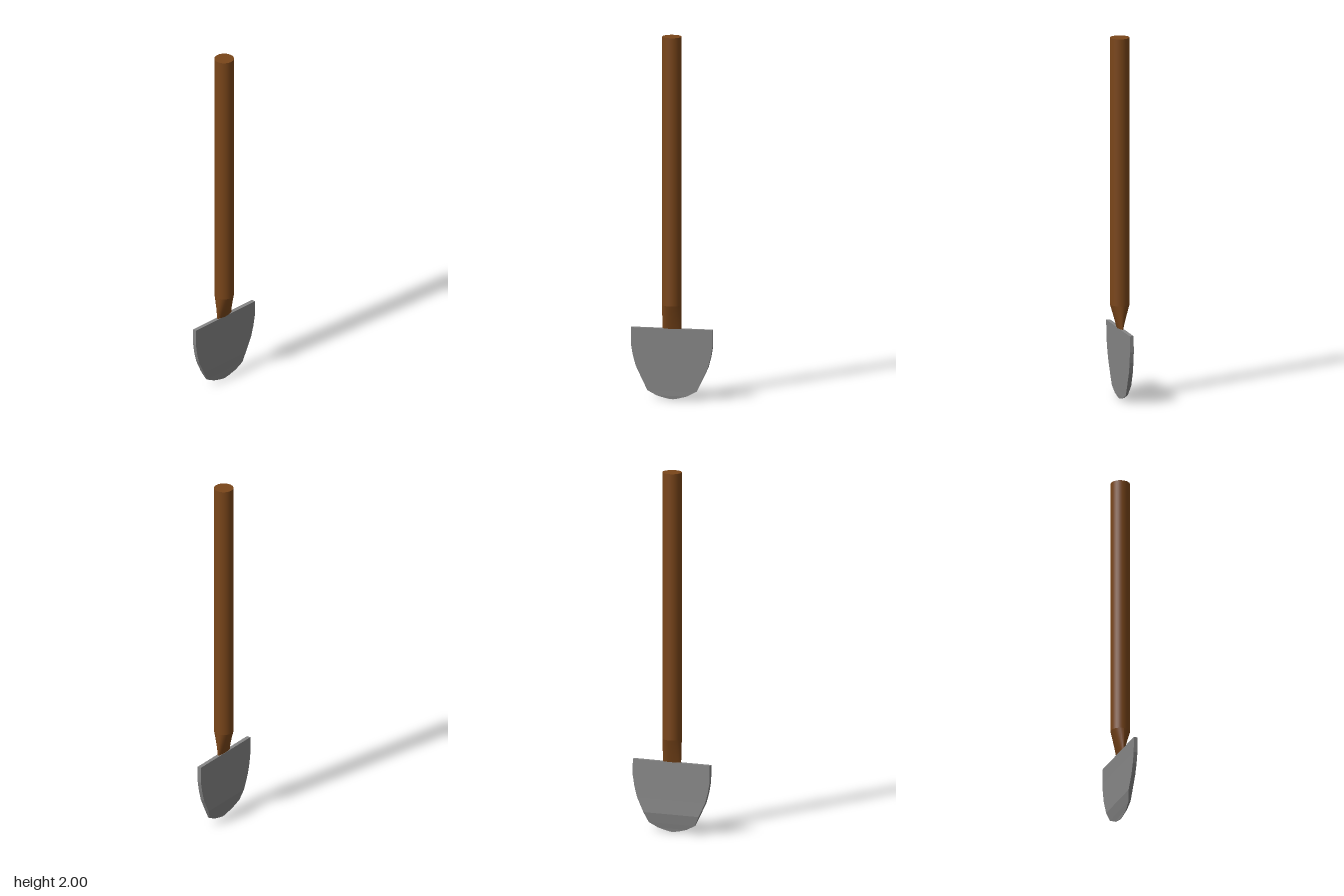
import * as THREE from 'three';

const RADIUS = 0.053;
const SIDES = 32;

// Blade rows from top to bottom: [y, half width, back x, front x]
const BLADE_ROWS = [
  [0.39, 0.226, -0.012, 0.01],
  [0.3, 0.226, -0.013, 0.009],
  [0.24, 0.216, -0.014, 0.008],
  [0.18, 0.2, -0.015, 0.007],
  [0.1, 0.162, -0.017, 0.006],
  [0.045, 0.135, -0.006, 0.005],
  [0.018, 0.083, 0, 0.005],
  [0.005, 0.035, 0.002, 0.004],
  [0, 0.008, 0.002, 0.004],
];

// A box whose rows of vertices are moved to the blade's cross-sections
function bladeGeometry() {
  const n = BLADE_ROWS.length - 1;
  const box = new THREE.BoxGeometry(2, n, 2, 1, n, 1);
  const pos = box.attributes.position;
  for (let i = 0; i < pos.count; i++) {
    const [y, half, back, front] = BLADE_ROWS[Math.round(n / 2 - pos.getY(i))];
    pos.setXYZ(i, pos.getX(i) < 0 ? back : front, y, Math.sign(pos.getZ(i)) * half);
  }
  box.computeVertexNormals();
  return box;
}

// A short cylinder squeezed in x towards its lower end
function neckGeometry(top, bottom, tipHalf) {
  const neck = new THREE.CylinderGeometry(RADIUS, RADIUS, top - bottom, SIDES);
  neck.translate(0, (top + bottom) / 2, 0);
  const pos = neck.attributes.position;
  for (let i = 0; i < pos.count; i++) {
    const t = (pos.getY(i) - bottom) / (top - bottom);
    pos.setX(i, pos.getX(i) * THREE.MathUtils.lerp(tipHalf / RADIUS, 1, t));
  }
  neck.computeVertexNormals();
  return neck;
}

export function createModel() {
  const group = new THREE.Group();
  const wood = new THREE.MeshStandardMaterial({ color: 0x7a461a });
  const steel = new THREE.MeshStandardMaterial({ color: 0x858585, flatShading: true });

  const add = (name, geometry, material) => {
    const mesh = new THREE.Mesh(geometry, material);
    mesh.name = name;
    group.add(mesh);
    return mesh;
  };

  // Long round shaft
  add('handle', new THREE.CylinderGeometry(RADIUS, RADIUS, 1.48, SIDES), wood).position.y = 1.26;
  // Wedge where the shaft meets the blade
  add('handleNeck', neckGeometry(0.52, 0.375, 0.006), wood);
  // Flat rounded spade head
  add('blade', bladeGeometry(), steel);

  return group;
}
